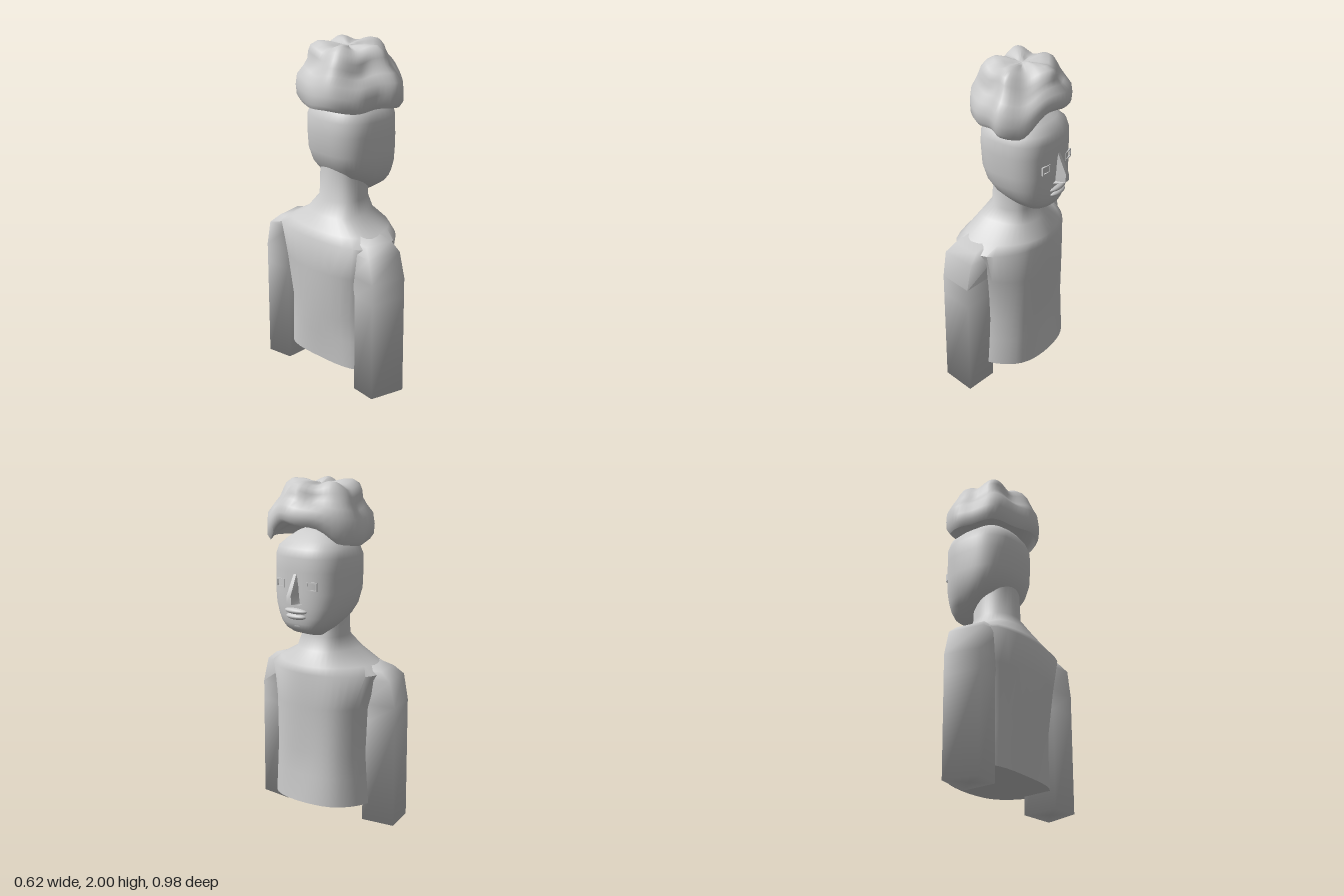
import * as THREE from 'three';
import { toCreasedNormals } from 'three/addons/utils/BufferGeometryUtils.js';

const clay = new THREE.MeshStandardMaterial({ color: 0xcccccc });
clay.name = 'clay grey';

const V = (x, y, z) => new THREE.Vector3(x, y, z);

// Skin a stack of rings (each running from +x towards +z), closed at both ends
function loft(rings, crease = 1.1) {
  const n = rings[0].length;
  const centre = (r) => {
    const c = r.reduce((s, p) => s.add(p), V(0, 0, 0)).divideScalar(n);
    return r.map(() => c);
  };
  const all = [centre(rings[0]), ...rings, centre(rings[rings.length - 1])];
  const pos = all.flat().flatMap((p) => [p.x, p.y, p.z]);
  const idx = [];
  for (let i = 0; i < all.length - 1; i++) {
    for (let j = 0; j < n; j++) {
      const k = (j + 1) % n, a = i * n, b = a + n;
      if (i > 0) idx.push(a + j, b + j, a + k);
      else idx.push(a + j, b + j, b + k);
      if (i > 0 && i < all.length - 2) idx.push(a + k, b + j, b + k);
    }
  }
  const g = new THREE.BufferGeometry();
  g.setAttribute('position', new THREE.Float32BufferAttribute(pos, 3));
  g.setIndex(idx);
  return toCreasedNormals(g, crease);
}

// Mirror half an outline of [x, z] pairs (front centre to back centre) into a smooth ring
function mirroredRing(y, half, samples = 40) {
  const other = half.slice(1, -1).reverse().map(([x, z]) => [x, -z]);
  const pts = [...half, ...other].map(([x, z]) => V(x, y, z));
  return new THREE.CatmullRomCurve3(pts, true, 'centripetal').getPoints(samples).slice(0, -1);
}

// Rounded-square ring between a back x and a front x
function roundedRing(y, back, front, hz, power = 2.6, n = 48) {
  const cx = (back + front) / 2, rx = (front - back) / 2;
  return Array.from({ length: n }, (_, i) => {
    const t = (i / n) * Math.PI * 2, c = Math.cos(t), s = Math.sin(t);
    const f = (v) => Math.sign(v) * Math.abs(v) ** (2 / power);
    return V(cx + rx * f(c), y, hz * f(s));
  });
}

function makeTorso() {
  const rows = [
    [0.11, [[0.2, 0], [0.15, 0.22], [-0.02, 0.325], [-0.2, 0.28], [-0.245, 0]]],
    [0.28, [[0.183, 0], [0.15, 0.21], [-0.01, 0.31], [-0.2, 0.275], [-0.262, 0]]],
    [0.42, [[0.175, 0], [0.15, 0.2], [0, 0.3], [-0.2, 0.27], [-0.285, 0]]],
    [0.7, [[0.197, 0], [0.155, 0.2], [0, 0.31], [-0.22, 0.3], [-0.3, 0]]],
    [0.9, [[0.2, 0], [0.155, 0.2], [0, 0.36], [-0.23, 0.34], [-0.31, 0]]],
    [0.945, [[0.195, 0], [0.14, 0.18], [-0.01, 0.3], [-0.2, 0.28], [-0.28, 0]]],
    [1.02, [[0.12, 0], [0.08, 0.12], [-0.04, 0.17], [-0.18, 0.16], [-0.23, 0]]],
    [1.1, [[0.085, 0], [0.06, 0.1], [-0.04, 0.14], [-0.13, 0.11], [-0.18, 0]]],
    [1.3, [[0.085, 0], [0.06, 0.1], [-0.04, 0.135], [-0.13, 0.1], [-0.165, 0]]],
  ];
  return loft(rows.map(([y, half]) => mirroredRing(y, half)));
}

// Four-sided arm, tapering in at the shoulder
function makeArm(side) {
  const rows = [
    [0, [[-0.02, 0.285], [-0.045, 0.49], [-0.255, 0.44], [-0.235, 0.28]]],
    [0.6, [[-0.02, 0.29], [-0.045, 0.49], [-0.255, 0.44], [-0.235, 0.28]]],
    [0.72, [[-0.02, 0.27], [-0.045, 0.49], [-0.255, 0.44], [-0.235, 0.26]]],
    [0.87, [[0.01, 0.25], [-0.045, 0.452], [-0.255, 0.41], [-0.24, 0.25]]],
    [0.92, [[0, 0.22], [-0.05, 0.39], [-0.22, 0.36], [-0.22, 0.22]]],
    [0.955, [[-0.03, 0.2], [-0.07, 0.27], [-0.18, 0.27], [-0.18, 0.2]]],
  ];
  return loft(rows.map(([y, q]) => {
    const ring = q.map(([x, z]) => V(x, y, z * side));
    return side > 0 ? ring : ring.reverse();
  }), 1.7);
}

function makeHead() {
  const rows = [
    [1.12, 0.05, 0.13, 0.07], [1.14, 0.02, 0.19, 0.1], [1.165, -0.02, 0.225, 0.135],
    [1.2, -0.06, 0.238, 0.17], [1.24, -0.125, 0.245, 0.197], [1.3, -0.172, 0.25, 0.222],
    [1.38, -0.2, 0.25, 0.235], [1.5, -0.21, 0.25, 0.235], [1.58, -0.207, 0.25, 0.234],
    [1.63, -0.19, 0.238, 0.215], [1.67, -0.16, 0.19, 0.175], [1.71, -0.11, 0.13, 0.12],
    [1.735, -0.05, 0.07, 0.06],
  ];
  return loft(rows.map((r) => roundedRing(...r)), 1.4);
}

function makeNose() {
  const rows = [[1.318, 0.272, 0.055], [1.325, 0.307, 0.03], [1.375, 0.307, 0.024],
    [1.44, 0.275, 0.02], [1.49, 0.25, 0.015]];
  return loft(rows.map(([y, x, w]) =>
    [V(x, y, -w * 0.6), V(x, y, w * 0.6), V(0.23, y, w * 1.3), V(0.23, y, -w * 1.3)]), 0.9);
}

// Thin raised frame around an eye
function makeEye() {
  const box = (p, w, h) => p.moveTo(-w, -h).lineTo(w, -h).lineTo(w, h).lineTo(-w, h).closePath();
  const shape = box(new THREE.Shape(), 0.034, 0.025);
  shape.holes.push(box(new THREE.Path(), 0.026, 0.018));
  return new THREE.ExtrudeGeometry(shape, { depth: 0.009, bevelEnabled: false });
}

// Lumpy hair cap: overhanging edge, arched over the forehead, hollow underneath
function makeHair() {
  const outline = new THREE.CatmullRomCurve3([
    [0.29, -0.02], [0.25, 0.13], [0.19, 0.25], [0.07, 0.325], [-0.04, 0.265], [-0.15, 0.235],
    [-0.255, 0.14], [-0.28, 0.05], [-0.25, -0.1], [-0.19, -0.23], [-0.06, -0.275],
    [0.05, -0.297], [0.19, -0.21]].map(([x, z]) => V(x, 0, z)), true).getPoints(64).slice(0, -1);
  // [scale, height fraction, bump amount], from inside the hollow out and over the top
  const rows = [
    [0.25, 0.3, 0], [0.6, 0.25, 0], [0.84, 0.1, 0], [0.93, 0, 0], [0.99, 0.08, 0.1],
    [1, 0.24, 0.2], [0.97, 0.42, 0.4], [0.85, 0.55, 0.8], [0.77, 0.66, 1], [0.73, 0.78, 1],
    [0.66, 0.89, 1], [0.53, 0.96, 1], [0.35, 0.96, 1], [0.18, 0.94, 0.6], [0.06, 0.93, 0.2],
  ];
  return loft(rows.map(([s, f, b]) => outline.map((p) => {
    const t = Math.atan2(p.z, p.x);
    const arch = THREE.MathUtils.smoothstep(Math.cos(t), 0.5, 0.97) * 0.115;
    const base = 1.655 + arch + 0.008 * Math.sin(5 * t);
    const bump = b * (0.035 * Math.sin(5 * t + 0.6) + 0.03 * Math.sin(3 * t + 9 * f));
    const y = base + (2 - base) * f + b * 0.014 * Math.sin(5 * t + 0.6);
    return V(p.x * (s + bump), Math.min(y, 2), p.z * (s + bump));
  })), 1.4);
}

export function createModel() {
  const model = new THREE.Group();
  model.name = 'bust';
  const add = (name, geometry, parent = model) => {
    const mesh = new THREE.Mesh(geometry, clay);
    mesh.name = name;
    parent.add(mesh);
    return mesh;
  };

  add('torsoAndNeck', makeTorso());
  add('leftArm', makeArm(1));
  add('rightArm', makeArm(-1));

  // Head and face, looking along +x
  const head = new THREE.Group();
  head.name = 'headGroup';
  model.add(head);
  add('head', makeHead(), head);
  add('nose', makeNose(), head);
  for (const side of [1, -1]) {
    const eye = add(side > 0 ? 'leftEye' : 'rightEye', makeEye(), head);
    eye.position.set(0.234, 1.427, side * 0.11);
    eye.rotation.y = Math.PI / 2 - side * 0.16;
  }
  for (const [name, y, w] of [['upperLip', 1.277, 0.08], ['lowerLip', 1.245, 0.07]]) {
    const lip = add(name, new THREE.SphereGeometry(1, 20, 12), head);
    lip.scale.set(0.035, 0.019, w);
    lip.position.set(0.238, y, 0);
  }
  const chin = add('chin', new THREE.SphereGeometry(1, 20, 12), head);
  chin.scale.set(0.05, 0.03, 0.085);
  chin.position.set(0.185, 1.19, 0);

  add('hair', makeHair(), head);
  return model;
}
